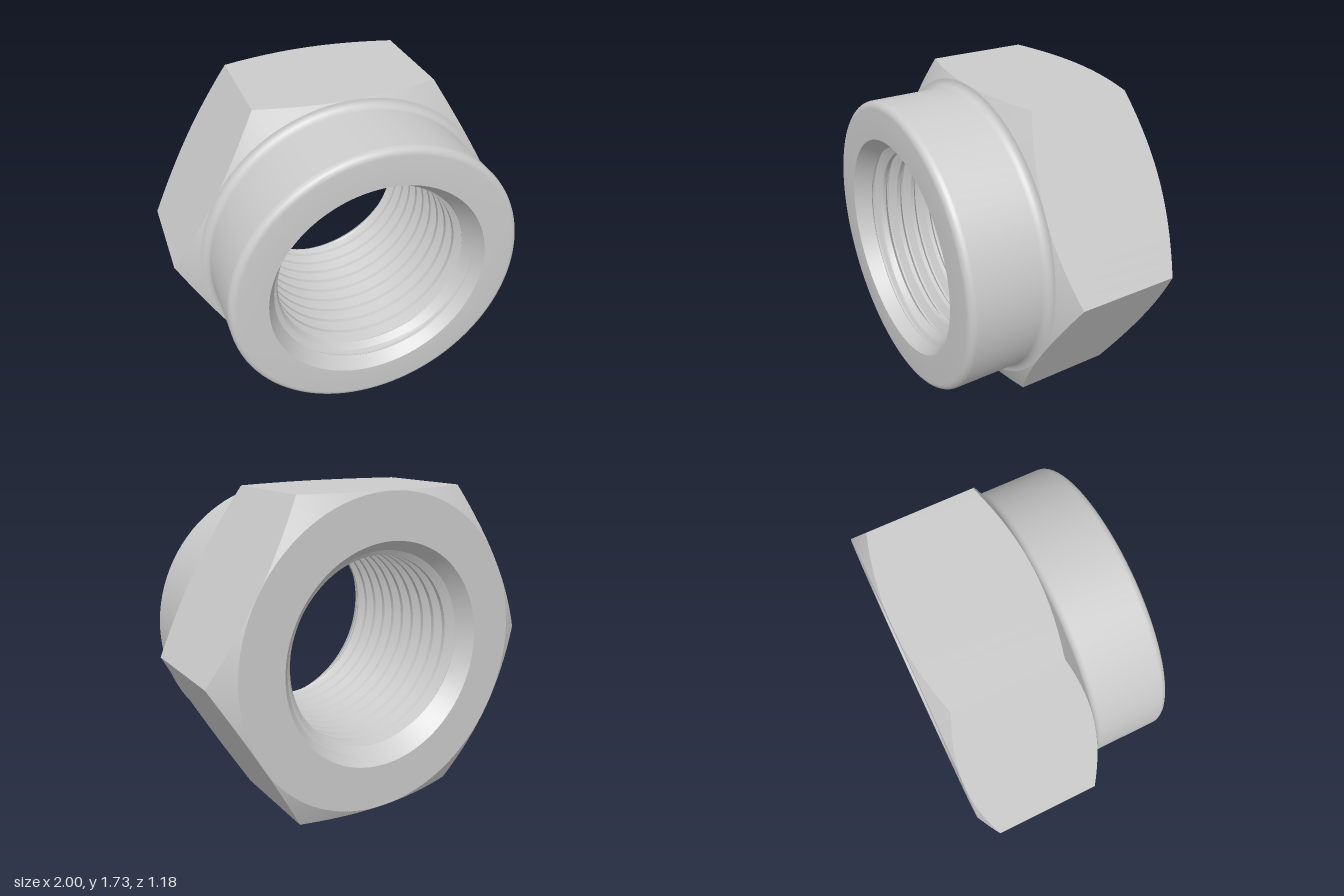
import * as THREE from 'three';
import { toCreasedNormals } from 'three/addons/utils/BufferGeometryUtils.js';

const SEG = 96;                  // divisible by 6, so hexagon corners fall on vertices
const APOTHEM = Math.sqrt(3) / 2;
const BACK = -0.59, SHOULDER = 0.135, FRONT = 0.59;
const BORE = 0.615;              // bore mouth radius

// Skin rows swept around the z axis; each row maps an angle to [radius, z].
function loft(rows) {
  const pos = [], idx = [], w = SEG + 1;
  for (const row of rows) {
    for (let i = 0; i <= SEG; i++) {
      const a = (i / SEG) * Math.PI * 2;
      const [r, z] = row(a);
      pos.push(r * Math.cos(a), r * Math.sin(a), z);
    }
  }
  for (let j = 0; j < rows.length - 1; j++) {
    for (let i = 0; i < SEG; i++) {
      const a = j * w + i, b = a + 1, c = b + w, d = a + w;
      idx.push(a, b, c, a, c, d);
    }
  }
  const g = new THREE.BufferGeometry();
  g.setAttribute('position', new THREE.Float32BufferAttribute(pos, 3));
  g.setIndex(idx);
  return toCreasedNormals(g, 0.35);
}

const ring = (r, z) => () => [r, z];

// Quarter arc of rings in the (radius, z) plane
function arc(cr, cz, rad, from, to, n = 6) {
  return Array.from({ length: n + 1 }, (_, k) => {
    const t = from + ((to - from) * k) / n;
    return ring(cr + rad * Math.cos(t), cz + rad * Math.sin(t));
  });
}

// Hexagon radius at an angle, corners at 0, 60, 120... degrees
function hexRadius(a) {
  const s = Math.PI / 3;
  return APOTHEM / Math.cos(a - Math.floor(a / s + 1e-6) * s - s / 2);
}

// Hexagon body with 30 degree conical chamfers on both ends
function hexBody() {
  const inset = (r) => (r - APOTHEM) * 0.56;
  const side = (end, sign) => (a) => {
    const r = hexRadius(a);
    return [r, end + sign * inset(r)];
  };
  return loft([
    ring(BORE, BACK), ring(APOTHEM, BACK),
    side(BACK, 1), side(SHOULDER, -1),
    ring(APOTHEM, SHOULDER),
  ]);
}

// Round collar with a root fillet and a rounded front rim
function collar() {
  const R = 0.82, fillet = APOTHEM - R, rim = 0.04;
  return loft([
    ...arc(APOTHEM, SHOULDER + fillet, fillet, -Math.PI / 2, -Math.PI),
    ...arc(R - rim, FRONT - rim, rim, 0, Math.PI / 2),
    ring(BORE, FRONT),
  ]);
}

// Helical thread, opened out by a countersink at each mouth
function threadedBore() {
  const P = 0.096, STEPS = 16, minor = 0.525, major = 0.577;
  const profile = (k) => {       // 4 steps crest, 5 flank, 2 root, 5 flank
    const t = k % STEPS;
    const f = t <= 4 ? 0 : t < 9 ? (t - 4) / 5 : t <= 11 ? 1 : (16 - t) / 5;
    return minor + (major - minor) * f;
  };
  const rows = [];
  const count = Math.ceil(((FRONT - BACK + P) / P) * STEPS);
  for (let k = 0; k <= count; k++) {
    rows.push((a) => {
      const z = THREE.MathUtils.clamp(FRONT - (k / STEPS) * P + (a / (2 * Math.PI)) * P, BACK, FRONT);
      const frontCone = BORE - (FRONT - z) * 0.58;
      const backCone = BORE - (z - BACK) * 0.8;
      return [Math.max(profile(k), frontCone, backCone), z];
    });
  }
  return loft(rows);
}

export function createModel() {
  const nut = new THREE.Group();
  nut.name = 'lockNut';
  const material = new THREE.MeshStandardMaterial({ color: 0xcccccc });
  const parts = { hexBody: hexBody(), collar: collar(), threadedBore: threadedBore() };
  for (const [name, geometry] of Object.entries(parts)) {
    const mesh = new THREE.Mesh(geometry, material);
    mesh.name = name;
    mesh.position.y = APOTHEM;
    nut.add(mesh);
  }
  return nut;
}
